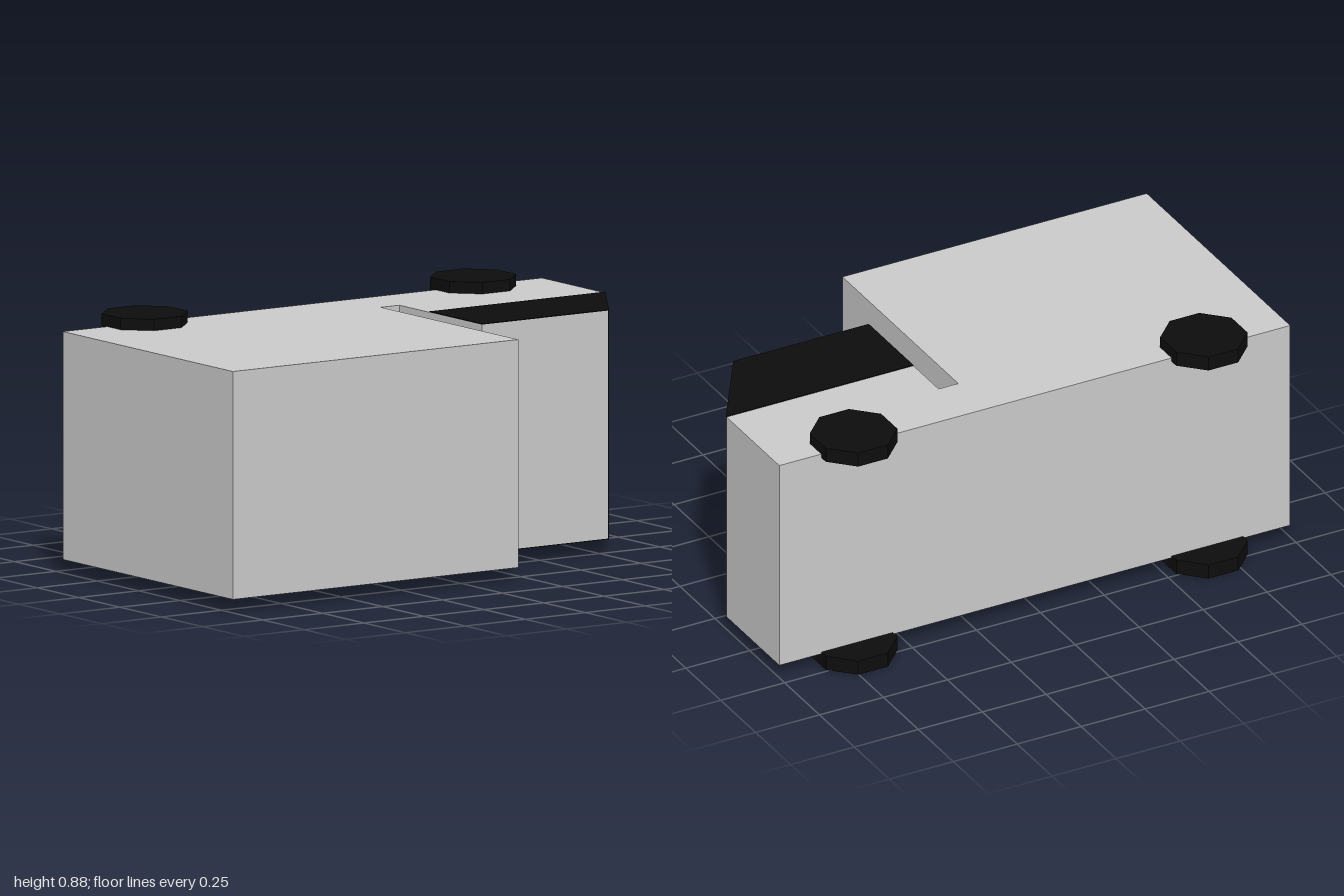
import * as THREE from 'three';

export function createModel() {
  const grey = new THREE.MeshStandardMaterial({ color: 0xcacaca, flatShading: true });
  grey.name = 'light grey body';
  const black = new THREE.MeshStandardMaterial({ color: 0x0d0d0d, flatShading: true });
  black.name = 'black glass and rubber';

  const model = new THREE.Group();
  model.name = 'boxTruckOnItsSide';

  const low = 0.047, high = 0.84;
  const skin = 0.003;

  // Extrudes an (x, z) outline upwards from y0 to y1
  function slab(name, outline, y0, y1, material) {
    const shape = new THREE.Shape(outline.map(([x, z]) => new THREE.Vector2(x, -z)));
    const geometry = new THREE.ExtrudeGeometry(shape, { depth: y1 - y0, bevelEnabled: false });
    geometry.rotateX(-Math.PI / 2);
    geometry.translate(0, y0, 0);
    const mesh = new THREE.Mesh(geometry, material);
    mesh.name = name;
    model.add(mesh);
  }

  // Cargo box, chassis and cab in one silhouette with the gap between them
  slab('body', [
    [-1, 0.57], [0.19, 0.57], [0.19, -0.26], [0.267, -0.26],
    [0.267, 0.24], [0.793, 0.24], [0.998, -0.08], [0.998, -0.458], [-1, -0.458],
  ], low, high, grey);

  // Side windows on both flanks of the cab
  const pane = [[0.267, 0.24], [0.793, 0.24], [0.998, -0.08], [0.267, -0.08]];
  slab('sideWindow', pane, low - skin, low, black);
  slab('sideWindow', pane, high, high + skin, black);

  // Sloping windscreen
  slab('windscreen', [
    [0.793, 0.24], [0.793 + skin, 0.24 + skin / 2], [0.998 + skin, -0.08], [0.998, -0.08],
  ], low - skin, high + skin, black);

  // Octagonal wheels, two axles with one wheel on each flank
  const wheelGeometry = new THREE.CylinderGeometry(0.151, 0.151, 0.054, 8);
  wheelGeometry.rotateY(Math.PI / 8);
  for (const x of [-0.676, 0.694]) {
    for (const y of [0.027, 0.853]) {
      const wheel = new THREE.Mesh(wheelGeometry, black);
      wheel.name = 'wheel';
      wheel.position.set(x, y, -0.433);
      model.add(wheel);
    }
  }
  return model;
}
